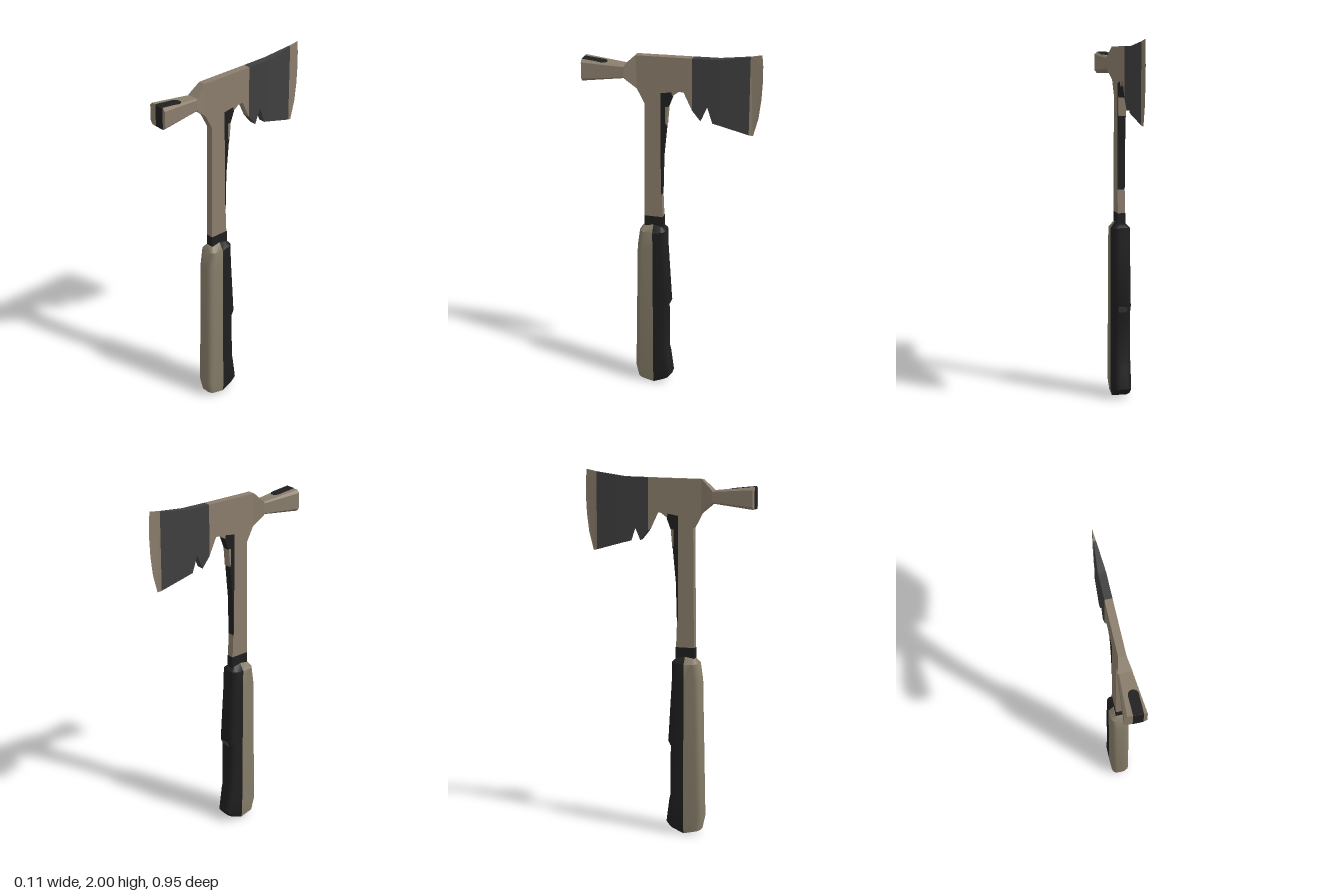
import * as THREE from 'three';
import { toCreasedNormals } from 'three/addons/utils/BufferGeometryUtils.js';

const material = (name, color) => {
  const m = new THREE.MeshStandardMaterial({ color });
  m.name = name;
  return m;
};

// Prism from a side profile of [z, y] points; halfWidth(z) gives its reach in x
function prism(points, halfWidth) {
  const shape = new THREE.Shape(points.map(([z, y]) => new THREE.Vector2(z, y)));
  const geo = new THREE.ExtrudeGeometry(shape, { depth: 1, bevelEnabled: false });
  geo.translate(0, 0, -0.5).rotateY(-Math.PI / 2);
  const p = geo.attributes.position;
  for (let i = 0; i < p.count; i++) p.setX(i, Math.sign(p.getX(i)) * halfWidth(p.getZ(i)));
  geo.computeVertexNormals();
  return geo;
}

// Closed skin over rings of equal point count, capped at both ends
function loft(rings, crease) {
  const n = rings[0].length, pos = [], index = [];
  rings.forEach(r => r.forEach(v => pos.push(...v)));
  for (let i = 0; i < rings.length - 1; i++) {
    for (let j = 0; j < n; j++) {
      const a = i * n + j, b = i * n + (j + 1) % n;
      index.push(a, b, b + n, a, b + n, a + n);
    }
  }
  [0, rings.length - 1].forEach(i => {
    const c = pos.length / 3;
    pos.push(...[0, 1, 2].map(k => rings[i].reduce((s, v) => s + v[k], 0) / n));
    for (let j = 0; j < n; j++) {
      const a = i * n + j, b = i * n + (j + 1) % n;
      if (i) index.push(a, b, c);
      else index.push(b, a, c);
    }
  });
  const geo = new THREE.BufferGeometry();
  geo.setAttribute('position', new THREE.Float32BufferAttribute(pos, 3));
  geo.setIndex(index);
  return toCreasedNormals(geo, crease);
}

// Half of a rounded grip section; side 1 is the front half, -1 the rear
const SPLIT = 0.1;
function gripRing([yMid, yEnd, zEnd, hx], side) {
  const r = Math.min(0.03, hx * 0.6), half = [[-side * hx, SPLIT]];
  for (let k = 0; k <= 4; k++) {
    const a = k * Math.PI / 8;
    half.push([-side * (hx - r + r * Math.cos(a)), zEnd - side * r * (1 - Math.sin(a))]);
  }
  const ring = [...half, ...half.map(([x, z]) => [-x, z]).reverse()];
  return ring.map(([x, z]) => [x, yMid + (yEnd - yMid) * (z - SPLIT) / (zEnd - SPLIT), z]);
}

// Chamfered rectangle across the poll
function pollRing(z, hx, y0, y1, c) {
  return [[hx, y0 + c], [hx, y1 - c], [hx - c, y1], [c - hx, y1],
    [-hx, y1 - c], [-hx, y0 + c], [c - hx, y0], [hx - c, y0]].map(([x, y]) => [x, y, z]);
}

export function createModel() {
  const steel = material('tan steel', 0x8a7d6c);
  const gripTan = material('tan grip', 0x877e6a);
  const coating = material('dark grey blade coating', 0x3f3f3f);
  const rubber = material('black rubber', 0x1f1f1f);

  const group = new THREE.Group();
  const add = (name, geo, mat) => {
    const mesh = new THREE.Mesh(geo, mat);
    mesh.name = name;
    group.add(mesh);
    return mesh;
  };
  const flat = () => 0.02;

  // Head core and shaft in one forged piece
  add('headAndShaft', prism([
    [0.19, 1.955], [-0.11, 1.96], [-0.11, 1.68], [-0.065, 1.775], [-0.04, 1.775],
    [-0.005, 1.75], [0, 1.77], [0.058, 1.76], [0.058, 1.2], [0.053, 1.18],
    [0.048, 1.04], [0.15, 1.04], [0.143, 1.695], [0.185, 1.775],
  ], flat), steel);

  // Dark rib behind the shaft, with a bare patch
  add('shaftRib', prism([
    [0.058, 1.76], [0.058, 1.2], [0.053, 1.18], [0.047, 1.4], [0.02, 1.68],
    [-0.005, 1.745], [0, 1.77],
  ], flat), rubber);
  add('ribPatch', prism([
    [0.034, 1.685], [0.018, 1.69], [0.027, 1.585], [0.034, 1.6],
  ], () => 0.0215), steel);

  // Blade: flat cheek, tapering cheek and bare cutting edge
  add('bladeCheek', prism([
    [-0.11, 1.96], [-0.25, 1.963], [-0.25, 1.61], [-0.22, 1.617],
    [-0.19, 1.705], [-0.155, 1.625], [-0.11, 1.68],
  ], flat), coating);
  add('bladeTaper', prism([
    [-0.25, 1.963], [-0.41, 1.987], [-0.41, 1.565], [-0.25, 1.61],
  ], z => (z < -0.3 ? 0.0065 : 0.02)), coating);
  add('cuttingEdge', prism([
    [-0.41, 1.987], [-0.468, 2], [-0.474, 1.94], [-0.475, 1.86], [-0.47, 1.76],
    [-0.458, 1.66], [-0.432, 1.56], [-0.41, 1.565],
  ], z => (z < -0.42 ? 0 : 0.0065)), steel);

  // Neck flares out to the hammer poll
  add('pollNeck', prism([
    [0.25, 1.897], [0.19, 1.955], [0.185, 1.775], [0.25, 1.83],
  ], z => (z > 0.22 ? 0.036 : 0.02)), steel);
  add('poll', loft([
    pollRing(0.25, 0.036, 1.83, 1.897, 0.006),
    pollRing(0.475, 0.057, 1.802, 1.92, 0.015),
  ], 0.3), steel);

  // Dark groove on the poll's top and striking face
  const arch = new THREE.Shape();
  arch.moveTo(-0.026, 0).lineTo(0.026, 0).lineTo(0.026, 0.105);
  arch.absarc(0, 0.105, 0.026, 0, Math.PI, false);
  const groove = add('pollGrooveTop',
    new THREE.ExtrudeGeometry(arch, { depth: 0.004, bevelEnabled: false }), rubber);
  groove.rotation.x = -Math.PI / 2 - 0.102;
  groove.position.set(0.012, 1.918, 0.475);
  add('pollGrooveFace', new THREE.BoxGeometry(0.052, 0.116, 0.004), rubber)
    .position.set(0.012, 1.861, 0.475);

  // Collar between shaft and grip
  add('collar', new THREE.BoxGeometry(0.043, 0.07, 0.106), rubber).position.set(0, 1.015, 0.098);

  // Grip halves; rows are [y at the seam, y at the outside, outside z, half width]
  const front = [
    [0.005, 0.028, 0.192, 0.043], [0.04, 0.1, 0.207, 0.05], [0.87, 0.87, 0.19, 0.05],
    [0.96, 0.965, 0.176, 0.05], [1.0, 0.99, 0.157, 0.024],
  ];
  const rear = [
    [0.005, 0.042, 0.012, 0.043], [0.04, 0.065, -0.005, 0.05], [0.2, 0.195, 0.012, 0.05],
    [0.22, 0.22, 0.018, 0.05], [0.5, 0.5, 0.02, 0.05], [0.53, 0.53, 0.006, 0.05],
    [0.87, 0.87, 0.026, 0.05], [0.96, 0.97, 0.028, 0.05], [1.0, 0.99, 0.048, 0.024],
  ];
  add('gripFront', loft(front.map(r => gripRing(r, 1)), 0.6), gripTan);
  add('gripRear', loft(rear.map(r => gripRing(r, -1)), 0.6), rubber);

  // Worn patch under the finger ridge
  const patch = add('gripPatch', new THREE.BoxGeometry(0.05, 0.032, 0.004), coating);
  patch.position.set(0, 0.515, 0.0125);
  patch.rotation.x = -0.44;

  return group;
}
